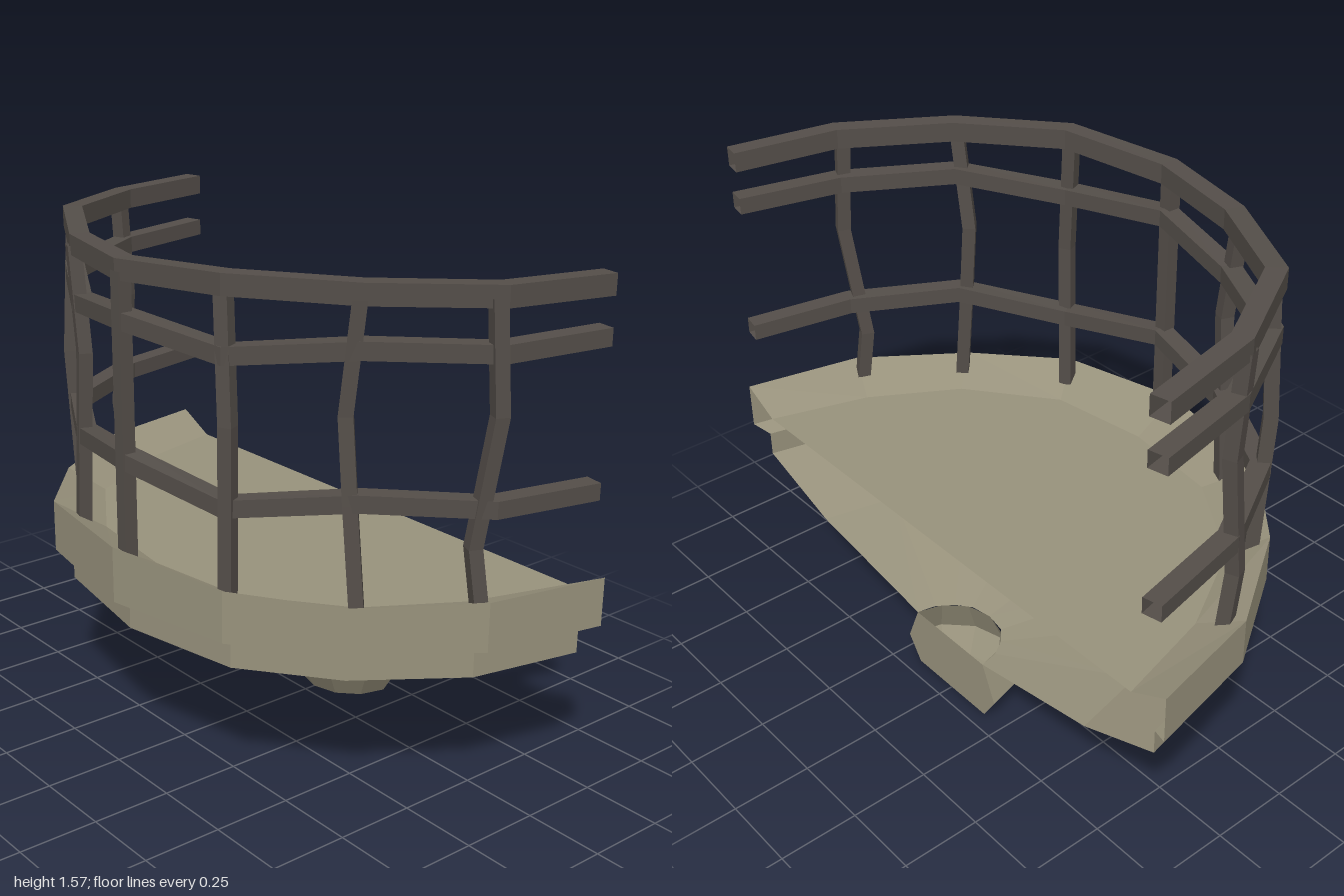
import * as THREE from 'three';

const stone = new THREE.MeshStandardMaterial({ color: 0x98927c, side: THREE.DoubleSide });
stone.name = 'weathered stone';
const iron = new THREE.MeshStandardMaterial({ color: 0x544e49, side: THREE.DoubleSide });
iron.name = 'dark iron';

// Faceted skin through a list of rings with equal point counts
function loft(rings, closed) {
  const pos = [];
  const n = rings[0].length;
  for (let i = 0; i < rings.length - 1; i++) {
    for (let j = 0; j < (closed ? n : n - 1); j++) {
      const k = (j + 1) % n;
      const a = rings[i][j], b = rings[i][k], c = rings[i + 1][k], d = rings[i + 1][j];
      pos.push(...a, ...d, ...c, ...a, ...c, ...b);
    }
  }
  return flat(pos);
}

// Flat polygon fan over a ring
function fan(ring) {
  const pos = [];
  for (let i = 1; i < ring.length - 1; i++) pos.push(...ring[0], ...ring[i], ...ring[i + 1]);
  return flat(pos);
}

function flat(pos) {
  const g = new THREE.BufferGeometry();
  g.setAttribute('position', new THREE.Float32BufferAttribute(pos, 3));
  g.computeVertexNormals();
  return g;
}

// Half-round plan of the platform, slightly uneven: [x, z, rim height]
const plan = [
  [-1, -0.5, 0.68], [-0.92, -0.12, 0.68], [-0.71, 0.2, 0.685], [-0.45, 0.42, 0.695], [0, 0.5, 0.705],
  [0.42, 0.42, 0.69], [0.7, 0.2, 0.675], [0.92, -0.12, 0.68], [1, -0.5, 0.68],
];
const inner = [
  [-0.87, -0.5], [-0.785, -0.175], [-0.62, 0.115], [-0.335, 0.3], [0, 0.345],
  [0.335, 0.3], [0.61, 0.09], [0.775, -0.185], [0.87, -0.5],
];
const FLOOR = 0.615;

// Plan squeezed to a half width and a depth range at height y
const level = (y, half, front, back) =>
  plan.map(([x, z]) => [x * half, y, back + (front - back) * (z + 0.5)]);

// Rail and post positions around the plan: [x, z]
const line = [
  [-0.935, -0.5], [-0.86, -0.15], [-0.68, 0.165], [-0.345, 0.355], [0, 0.435],
  [0.365, 0.36], [0.655, 0.135], [0.87, -0.165], [0.935, -0.5],
];

// Outward mitre vector at a rail point
function mitre(i) {
  const dir = (a, b) => new THREE.Vector2(b[0] - a[0], b[1] - a[1]).normalize();
  const d0 = dir(line[Math.max(i - 1, 0)], line[Math.max(i, 1)]);
  const d1 = dir(line[Math.min(i, 7)], line[Math.min(i + 1, 8)]);
  const t = d0.clone().add(d1).normalize();
  return new THREE.Vector2(-t.y, t.x).divideScalar(t.dot(d1));
}

// Square-section rail with a height at each plan point
function rail(heights, width, height) {
  const rings = line.map(([x, z], i) => {
    const s = mitre(i).multiplyScalar(width / 2), y = heights[i], h = height / 2;
    return [
      [x + s.x, y + h, z + s.y], [x + s.x, y - h, z + s.y],
      [x - s.x, y - h, z - s.y], [x - s.x, y + h, z - s.y],
    ];
  });
  return loft(rings, true);
}

// Square post, bent sideways by offsets [y, dx, dz]
function post(i, bends) {
  const s = mitre(i).normalize().multiplyScalar(0.021);
  const rings = bends.map(([y, dx, dz]) => {
    const x = line[i][0] + dx, z = line[i][1] + dz;
    return [
      [x + s.x - s.y, y, z + s.y + s.x], [x + s.x + s.y, y, z + s.y - s.x],
      [x - s.x + s.y, y, z - s.y - s.x], [x - s.x - s.y, y, z - s.y + s.x],
    ];
  });
  return loft(rings, true);
}

export function createModel() {
  const model = new THREE.Group();
  model.name = 'balcony';
  const add = (name, geometry, material, parent = model) => {
    const m = new THREE.Mesh(geometry, material);
    m.name = name;
    parent.add(m);
  };

  // Platform: sloped rim, floor, stepped band and bowl, open at the wall side
  const innerRing = inner.map(([x, z]) => [x, FLOOR, z]);
  const rimTop = plan.map(([x, z, y]) => [x, y, z]);
  const band = level(0.51, 0.94, 0.445, -0.475);
  const bandFoot = level(0.43, 0.94, 0.445, -0.475);
  add('floor', fan(innerRing), stone);
  add('rim', loft([innerRing, rimTop, level(0.53, 1, 0.5, -0.5), band]), stone);
  add('band', loft([band, bandFoot]), stone);
  add('bowl', loft([bandFoot, level(0.31, 0.65, 0.18, -0.465), level(0.205, 0.165, -0.29, -0.45)]), stone);

  // Half-round finial with a flat back and bottom
  const finialRing = (y, r) => Array.from({ length: 7 }, (_, i) => {
    const a = Math.PI * i / 6;
    return [-r * Math.cos(a), y, -0.45 + r * 0.98 * Math.sin(a)];
  });
  const finial = new THREE.Group();
  finial.name = 'finial';
  model.add(finial);
  const rings = [finialRing(0.205, 0.165), finialRing(0.08, 0.218), finialRing(0, 0.165)];
  add('finialSide', loft(rings), stone, finial);
  add('finialBottom', fan(rings[2]), stone, finial);
  add('finialBack', fan([...rings.map(r => r[0]), ...rings.map(r => r[6]).reverse()]), stone, finial);

  // Uneven rails
  add('topRail', rail([1.53, 1.53, 1.535, 1.525, 1.525, 1.54, 1.535, 1.525, 1.52], 0.06, 0.062), iron);
  add('middleRail', rail([1.38, 1.375, 1.365, 1.35, 1.38, 1.345, 1.385, 1.37, 1.375], 0.06, 0.052), iron);
  add('lowerRail', rail([0.935, 0.932, 0.93, 0.935, 0.965, 0.91, 0.96, 0.935, 0.93], 0.06, 0.052), iron);

  // Crooked posts, left end to right end
  const bends = [
    [[0.64, 0, 0.01], [0.82, -0.005, 0.03], [1.2, 0.005, 0], [1.52, -0.01, 0.01]],
    [[0.64, 0.01, 0], [1.1, -0.005, 0.02], [1.52, 0.005, 0]],
    [[0.64, -0.015, 0.01], [1.2, 0.02, 0.01], [1.52, -0.02, 0.01]],
    [[0.64, 0, 0.01], [1.52, 0, 0.01]],
    [[0.64, 0.01, 0.005], [1.15, 0.02, 0.01], [1.52, -0.01, 0]],
    [[0.64, 0.015, 0.01], [0.95, -0.01, 0.02], [1.2, -0.03, 0.025], [1.52, 0.005, 0.015]],
    [[0.64, -0.005, 0.03], [0.82, -0.025, 0.045], [1.2, 0.015, 0.01], [1.52, 0, 0.025]],
  ];
  const posts = new THREE.Group();
  posts.name = 'posts';
  model.add(posts);
  bends.forEach((b, i) => add('post' + (i + 1), post(i + 1, b), iron, posts));

  return model;
}
